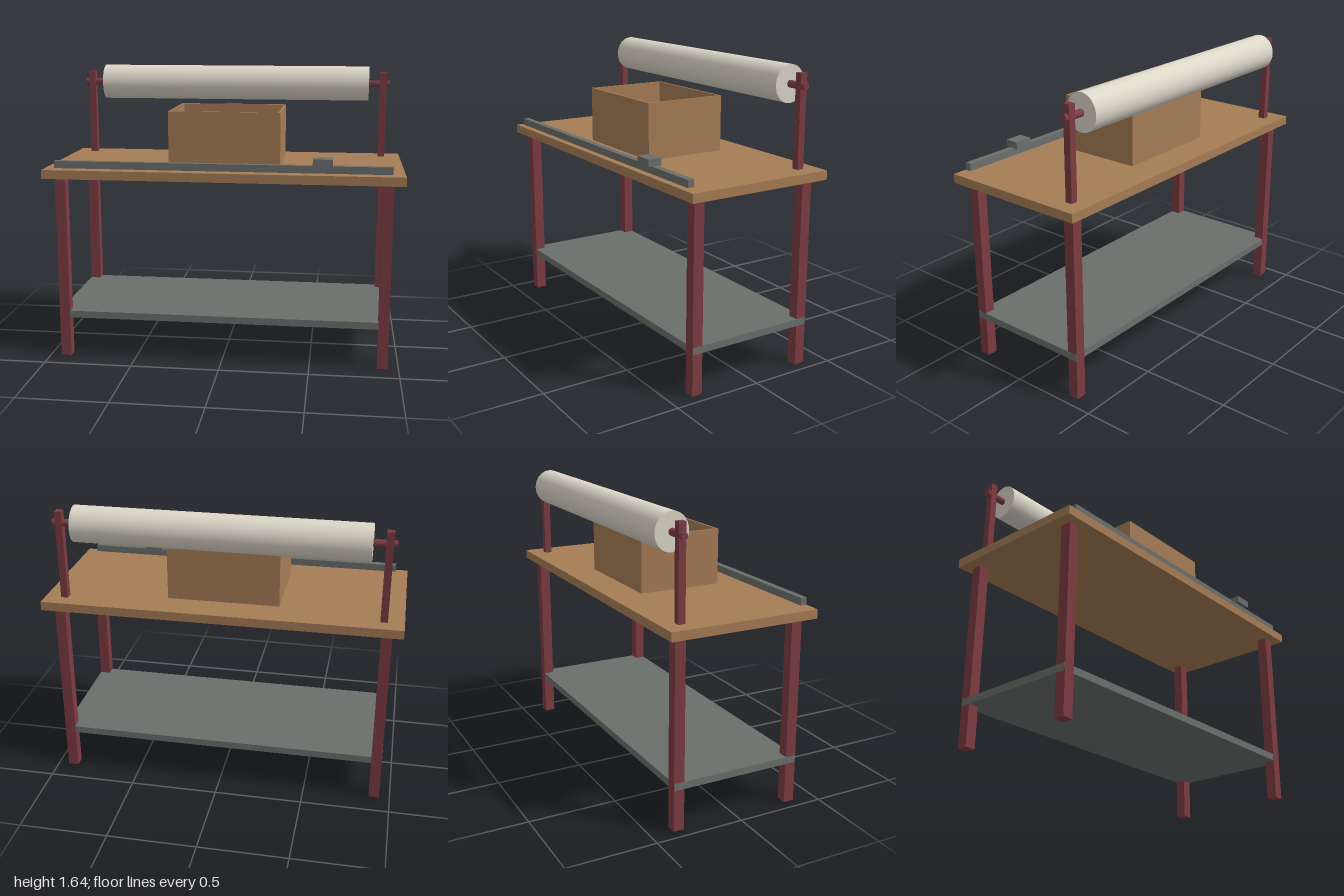
import * as THREE from 'three';

export function createModel() {
  const model = new THREE.Group();
  model.name = 'packingTable';

  const material = (name, color) => {
    const m = new THREE.MeshStandardMaterial({ color });
    m.name = name;
    return m;
  };
  const wood = material('wood', 0xa67c55);
  const burgundy = material('burgundy', 0x7c3c42);
  const grey = material('grey', 0x6b6f6c);
  const paper = material('paper', 0xddd7c9);

  const add = (name, geometry, mat, x, y, z, parent = model) => {
    const mesh = new THREE.Mesh(geometry, mat);
    mesh.name = name;
    mesh.position.set(x, y, z);
    parent.add(mesh);
    return mesh;
  };
  const box = (name, mat, w, h, d, x, y, z, parent) =>
    add(name, new THREE.BoxGeometry(w, h, d), mat, x, y, z, parent);

  // Table top, lower shelf and four legs
  box('tableTop', wood, 2, 0.05, 0.85, 0, 1.075, 0);
  box('lowerShelf', grey, 1.882, 0.04, 0.742, 0, 0.25, 0);
  for (const sx of [-1, 1]) {
    for (const sz of [-1, 1]) {
      box('leg', burgundy, 0.06, 1.05, 0.06, sx * 0.91, 0.525, sz * 0.343);
    }
  }

  // Uprights holding the paper roll
  const rollY = 1.537, rollZ = -0.32;
  for (const sx of [-1, 1]) {
    box('rollPost', burgundy, 0.04, 0.505, 0.04, sx * 0.89, 1.3525, rollZ);
  }
  const roller = (name, mat, radius, length, flatten) => {
    const g = new THREE.CylinderGeometry(radius, radius, length, 48);
    g.rotateZ(Math.PI / 2);
    g.scale(1, 1, flatten);
    return add(name, g, mat, 0, rollY, rollZ);
  };
  roller('rollRod', burgundy, 0.02, 1.86, 0.93);
  roller('paperRoll', paper, 0.102, 1.608, 0.93);

  // Open-topped carton
  const carton = new THREE.Group();
  carton.name = 'carton';
  carton.position.y = 1.1;
  model.add(carton);
  const w = 0.63, h = 0.315, d = 0.48, t = 0.012;
  box('cartonBase', wood, w, t, d, 0, t / 2, 0, carton);
  for (const s of [-1, 1]) {
    box('cartonLongWall', wood, w, h - t, t, 0, (h + t) / 2, s * (d - t) / 2, carton);
    box('cartonEndWall', wood, t, h - t, d - 2 * t, s * (w - t) / 2, (h + t) / 2, 0, carton);
  }

  // Cutting rail with its sliding block
  box('cutterRail', grey, 1.86, 0.04, 0.036, 0, 1.129, 0.387);
  box('cutterSlider', grey, 0.107, 0.04, 0.08, 0.555, 1.168, 0.387);

  return model;
}
